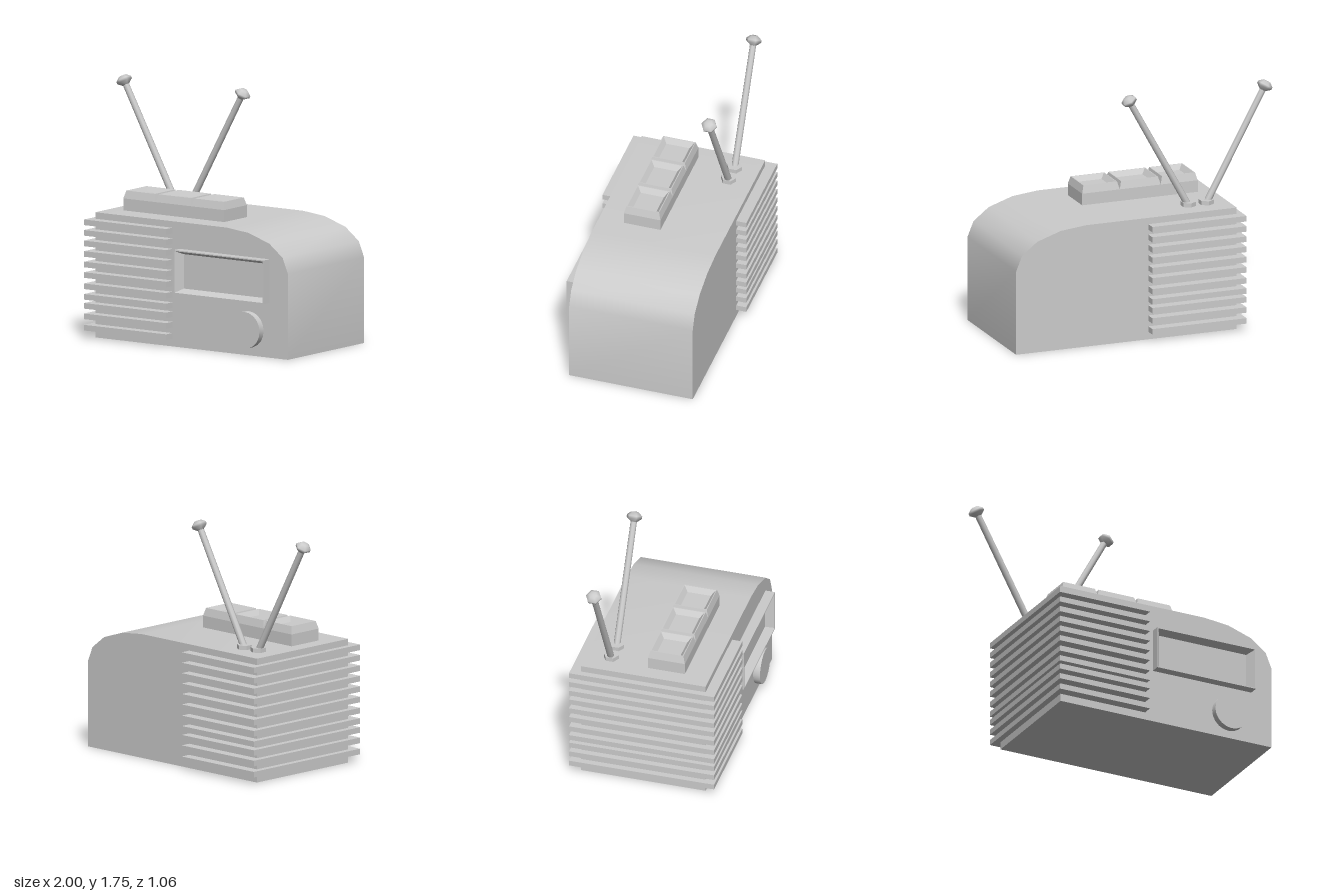
import * as THREE from 'three';
import { toCreasedNormals } from 'three/addons/utils/BufferGeometryUtils.js';

const material = new THREE.MeshStandardMaterial({ color: 0xcccccc });

function add(parent, name, geometry, x = 0, y = 0, z = 0) {
  const mesh = new THREE.Mesh(geometry, material);
  mesh.name = name;
  mesh.position.set(x, y, z);
  parent.add(mesh);
  return mesh;
}

// Rectangular tray: skins a stack of [width, depth, height] rings, then caps the last.
function trayGeometry(rings) {
  const corners = rings.map(([w, d, h]) =>
    [[-1, 1], [1, 1], [1, -1], [-1, -1]].map(([sx, sz]) => [sx * w / 2, h, sz * d / 2]));
  const positions = [];
  const quad = (a, b, c, d) => positions.push(...a, ...b, ...c, ...a, ...c, ...d);
  for (let i = 0; i < corners.length - 1; i++) {
    for (let k = 0; k < 4; k++) {
      const n = (k + 1) % 4;
      quad(corners[i][k], corners[i][n], corners[i + 1][n], corners[i + 1][k]);
    }
  }
  quad(...corners[corners.length - 1]);
  const geometry = new THREE.BufferGeometry();
  geometry.setAttribute('position', new THREE.Float32BufferAttribute(positions, 3));
  geometry.computeVertexNormals();
  return geometry;
}

// Telescopic rod with a faceted tip, standing on a hexagonal foot
function createAntenna(name, baseX, tipX) {
  const antenna = new THREE.Group();
  antenna.name = name;
  antenna.position.set(baseX, 0.89, -0.28);
  add(antenna, 'antennaFoot', toCreasedNormals(new THREE.CylinderGeometry(0.055, 0.055, 0.03, 6), 0.6), 0, 0.015, 0);

  const dx = tipX - baseX, dy = 0.815;
  const length = Math.hypot(dx, dy);
  const arm = new THREE.Group();
  arm.name = 'antennaArm';
  arm.rotation.z = -Math.atan2(dx, dy);
  add(arm, 'antennaRod', new THREE.CylinderGeometry(0.023, 0.025, length, 8, 1, true), 0, length / 2, 0);
  const tip = [[0.023, -0.035], [0.056, -0.008], [0.056, 0.01], [0.028, 0.034], [0, 0.034]]
    .map(([r, h]) => new THREE.Vector2(r, h));
  add(arm, 'antennaTip', new THREE.LatheGeometry(tip, 6), 0, length, 0);
  antenna.add(arm);
  return antenna;
}

export function createModel() {
  const radio = new THREE.Group();
  radio.name = 'radio';

  // Cabinet with one rounded shoulder
  const profile = new THREE.Shape([
    [-0.67, 0], [1, 0], [1, 0.61], [0.955, 0.72], [0.84, 0.81],
    [0.66, 0.87], [0.47, 0.89], [-0.67, 0.89],
  ].map(([x, y]) => new THREE.Vector2(x, y)));
  const cabinet = new THREE.ExtrudeGeometry(profile, { depth: 0.91, bevelEnabled: false });
  add(radio, 'cabinet', toCreasedNormals(cabinet, 0.6), 0, 0, -0.455);

  // Speaker slats wrapping the cabinet's end
  const slats = new THREE.Group();
  slats.name = 'speakerSlats';
  for (const y of [0.075, 0.155, 0.23, 0.294, 0.369, 0.449, 0.524, 0.599, 0.674, 0.749, 0.824]) {
    add(slats, 'slat', new THREE.BoxGeometry(0.713, 0.04, 1.06), -0.3575, y, 0);
  }
  radio.add(slats);

  // Tuning window: raised frame sloping in to a sunken panel
  const tuningWindow = add(radio, 'tuningWindow', trayGeometry([
    [0.78, 0.31, 0], [0.78, 0.31, 0.085], [0.765, 0.295, 0.085], [0.69, 0.245, 0.025],
  ]), 0.45, 0.545, 0.44);
  tuningWindow.rotation.x = Math.PI / 2;

  // Tuning knob
  const knob = add(radio, 'tuningKnob',
    toCreasedNormals(new THREE.CylinderGeometry(0.13, 0.13, 0.065, 20), 0.6), 0.66, 0.185, 0.4725);
  knob.rotation.x = Math.PI / 2;

  // Push buttons with chamfered rims and dished tops
  const buttons = new THREE.Group();
  buttons.name = 'pushButtons';
  for (const [left, right] of [[-0.56, -0.28], [-0.28, 0.03], [0.03, 0.315]]) {
    const w = right - left;
    add(buttons, 'pushButton', trayGeometry([
      [w, 0.27, 0], [w, 0.27, 0.085], [w - 0.03, 0.24, 0.14],
      [w - 0.042, 0.228, 0.14], [w - 0.1, 0.17, 0.105],
    ]), (left + right) / 2, 0.89, 0.137);
  }
  radio.add(buttons);

  // Pair of splayed antennas
  radio.add(createAntenna('rightAntenna', -0.51, -0.953));
  radio.add(createAntenna('leftAntenna', -0.375, 0.073));

  return radio;
}
